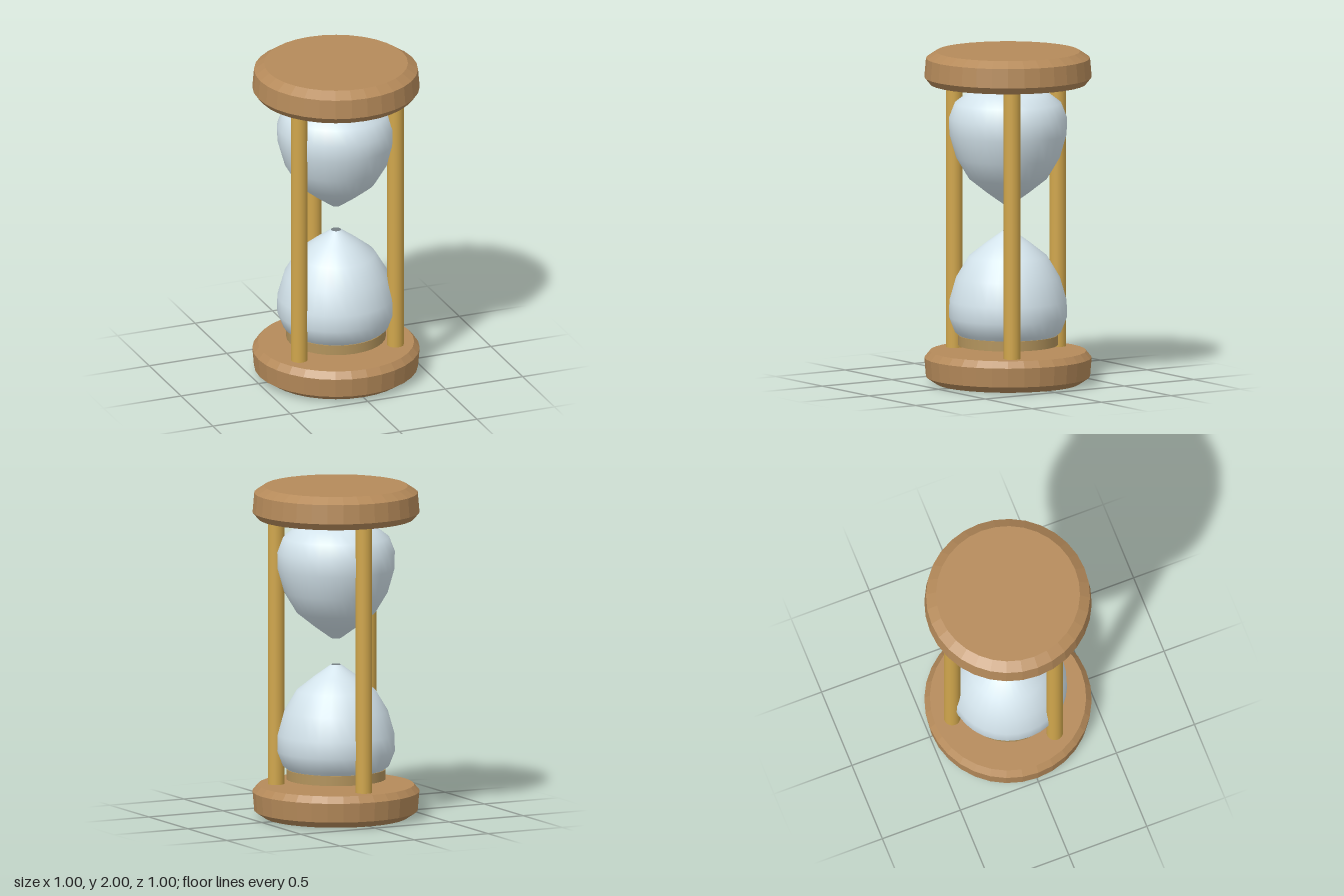
import * as THREE from 'three';

const wood = new THREE.MeshStandardMaterial({ color: 0xb58a5a, flatShading: true });
const brass = new THREE.MeshStandardMaterial({ color: 0xd0a64c });
const sandTone = new THREE.MeshStandardMaterial({ color: 0xb2935c });
const glass = new THREE.MeshStandardMaterial({ color: 0xd3e3eb, side: THREE.DoubleSide });

const lathe = (points, segments) =>
  new THREE.LatheGeometry(points.map(([r, y]) => new THREE.Vector2(r, y)), segments);

function addMesh(parent, name, geometry, material, x = 0, y = 0, z = 0) {
  const mesh = new THREE.Mesh(geometry, material);
  mesh.name = name;
  mesh.position.set(x, y, z);
  parent.add(mesh);
  return mesh;
}

export function createModel() {
  const group = new THREE.Group();
  group.name = 'hourglass';

  // Bevelled wooden end plate, outer face at y = 0
  const plate = lathe([[0, 0], [0.43, 0], [0.49, 0.04], [0.5, 0.155], [0.467, 0.195], [0, 0.195]], 32);

  // Glass bulb from its rounded base up to the open neck
  const bulb = lathe([
    [0, 0.197], [0.14, 0.208], [0.24, 0.25], [0.318, 0.31], [0.353, 0.4], [0.35, 0.5],
    [0.31, 0.64], [0.235, 0.765], [0.13, 0.848], [0.03, 0.92],
  ], 32);

  // Each end is the same, the upper one turned over
  for (const [name, top] of [['lower', false], ['upper', true]]) {
    const half = new THREE.Group();
    half.name = name + 'Half';
    addMesh(half, name + 'Plate', plate, wood);
    addMesh(half, name + 'Bulb', bulb, glass);
    if (top) {
      half.rotation.x = Math.PI;
      half.position.y = 2;
    }
    group.add(half);
  }

  // Disc around the foot of the lower bulb
  addMesh(group, 'baseDisc', new THREE.CylinderGeometry(0.298, 0.298, 0.06, 32), sandTone, 0, 0.26, 0);

  // Three posts, one at the back and two towards the front
  const post = new THREE.CylinderGeometry(0.05, 0.05, 1.64, 20);
  ['backPost', 'leftPost', 'rightPost'].forEach((name, i) => {
    const a = Math.PI + (i * Math.PI * 2) / 3 * -1;
    addMesh(group, name, post, brass, Math.sin(a) * 0.358, 1, Math.cos(a) * 0.358);
  });

  return group;
}
